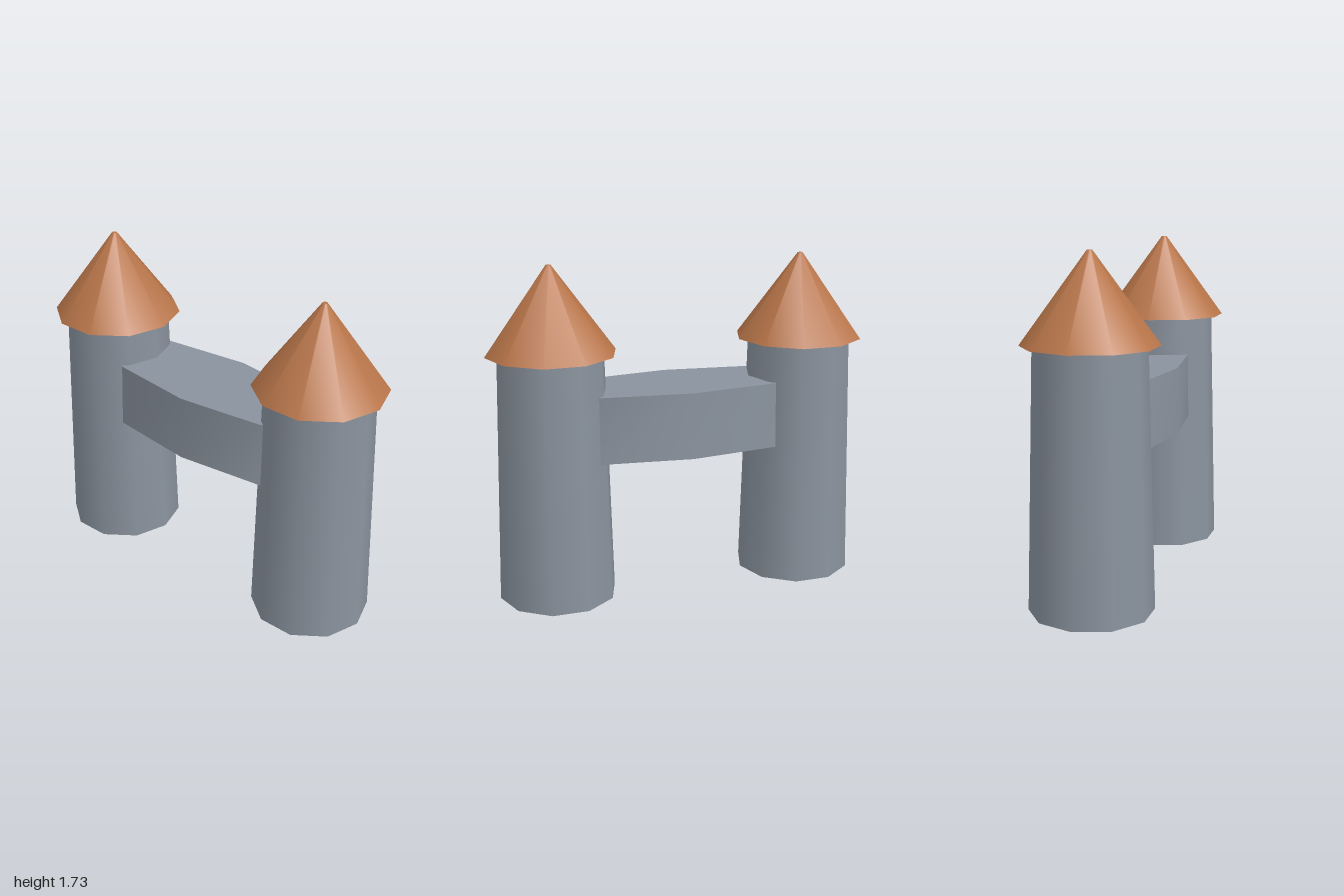
import * as THREE from 'three';

export function createModel() {
  const model = new THREE.Group();
  const stone = new THREE.MeshStandardMaterial({ color: 0x8a939e });
  stone.name = 'grey stone';
  const tile = new THREE.MeshStandardMaterial({ color: 0xb87549 });
  tile.name = 'orange roof tile';

  // Tapered many-sided drum standing between two heights, a corner pointing along x
  function drum(name, top, bottom, y0, y1, sides, material) {
    const geometry = new THREE.CylinderGeometry(top, bottom, y1 - y0, sides);
    geometry.rotateY(Math.PI / 2);
    geometry.translate(0, (y0 + y1) / 2, 0);
    const mesh = new THREE.Mesh(geometry, material);
    mesh.name = name;
    return mesh;
  }

  // Two matching towers with conical roofs
  for (const [side, label] of [[1, 'left'], [-1, 'right']]) {
    const tower = new THREE.Group();
    tower.name = label + 'Tower';
    tower.add(drum('towerWall', 0.272, 0.307, 0, 1.29, 10, stone));
    tower.add(drum('towerRoof', 0.013, 0.333, 1.29, 1.73, 10, tile));
    tower.position.x = side * 0.667;
    model.add(tower);
  }

  // Bridge: a stretched eight-sided drum whose ends are buried in the towers
  const bridge = drum('bridge', 0.98, 1, 0.745, 1.09, 8, stone);
  bridge.geometry.scale(0.665, 1, 0.254);
  const p = bridge.geometry.attributes.position;
  for (let i = 0; i < p.count; i++) {
    // Push the diagonal corners out a little so they clear the tower walls
    if (Math.abs(p.getX(i)) > 0.3 && Math.abs(p.getZ(i)) > 0.1) p.setZ(i, p.getZ(i) * 1.1);
  }
  bridge.geometry.computeVertexNormals();
  model.add(bridge);

  return model;
}
